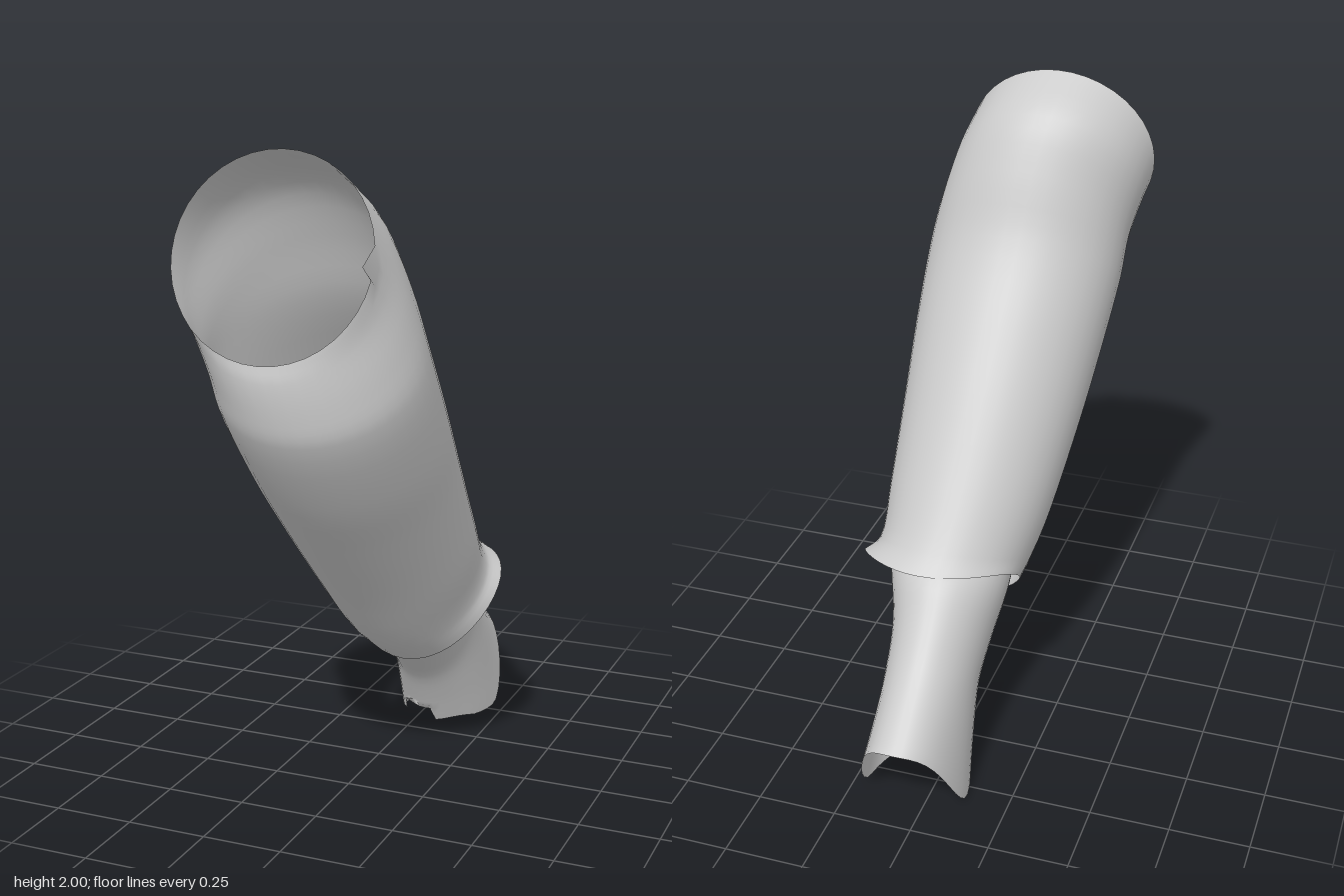
import * as THREE from 'three';

const SIDES = 40;
const STEPS = 4; // smooth rows between two given sections

// Lofts an open tube. Each section is [lower z, lower y, upper z, upper y, min x, max x].
// shape(p, t, u) may reshape a point at angle t (0 = left side) and length u (0..1).
function loft(name, sections, shape) {
  const lower = new THREE.CatmullRomCurve3(sections.map(s => new THREE.Vector3(s[4], s[1], s[0])));
  const upper = new THREE.CatmullRomCurve3(sections.map(s => new THREE.Vector3(s[5], s[3], s[2])));
  const rows = (sections.length - 1) * STEPS;
  const pos = [], index = [];
  for (let r = 0; r <= rows; r++) {
    const u = r / rows;
    const f = lower.getPoint(u), b = upper.getPoint(u);
    for (let i = 0; i < SIDES; i++) {
      const t = i / SIDES * Math.PI * 2;
      const k = (1 + Math.sin(t)) / 2;
      const p = new THREE.Vector3(
        THREE.MathUtils.lerp(f.x, b.x, (1 + Math.cos(t)) / 2),
        THREE.MathUtils.lerp(f.y, b.y, k),
        THREE.MathUtils.lerp(f.z, b.z, k));
      shape(p, t, u, i);
      pos.push(p.x, p.y, p.z);
      if (r < rows) {
        const a = r * SIDES + i, n = r * SIDES + (i + 1) % SIDES;
        index.push(a, a + SIDES, n, n, a + SIDES, n + SIDES);
      }
    }
  }
  const geo = new THREE.BufferGeometry();
  geo.setAttribute('position', new THREE.Float32BufferAttribute(pos, 3));
  geo.setIndex(index);
  geo.computeVertexNormals();
  const mesh = new THREE.Mesh(geo, new THREE.MeshStandardMaterial({ color: 0xcccccc, side: THREE.DoubleSide }));
  mesh.name = name;
  return mesh;
}

export function createModel() {
  const group = new THREE.Group();
  group.name = 'bentSleeve';

  // Wide sleeve, from the open upper end round the elbow to the cuff
  group.add(loft('sleeve', [
    [0.75, 1.43, 0.57, 2.00, -0.35, 0.26],
    [0.758, 1.38, 0.42, 1.90, -0.33, 0.285],
    [0.75, 1.28, 0.33, 1.74, -0.30, 0.32],
    [0.73, 1.20, 0.25, 1.55, -0.29, 0.345],
    [0.60, 1.00, 0.10, 1.33, -0.265, 0.345],
    [0.45, 0.82, -0.03, 1.14, -0.24, 0.335],
    [0.27, 0.61, -0.20, 0.88, -0.20, 0.325],
    [0.12, 0.43, -0.31, 0.72, -0.16, 0.32],
    [0.04, 0.36, -0.36, 0.66, -0.15, 0.355],
  ], (p, t, u, i) => {
    // arched cuff edge
    const end = Math.max(0, (u - 0.8) / 0.2) * Math.cos(t) ** 2;
    p.y += 0.07 * end;
    p.z += 0.02 * end;
    // torn corner on the open end
    if (u === 0 && i === 0) p.z += 0.08;
  }));

  // Narrow forearm coming out of the cuff, with a torn end
  group.add(loft('forearm', [
    [0.07, 0.50, -0.28, 0.70, -0.12, 0.28],
    [-0.01, 0.42, -0.355, 0.655, -0.12, 0.25],
    [-0.12, 0.30, -0.44, 0.56, -0.10, 0.21],
    [-0.22, 0.20, -0.54, 0.45, -0.09, 0.195],
    [-0.28, 0.10, -0.65, 0.36, -0.10, 0.20],
    [-0.33, 0.00, -0.76, 0.28, -0.115, 0.21],
  ], (p, t, u) => {
    const end = Math.max(0, (u - 0.6) / 0.4) * Math.cos(t) ** 4;
    p.y = Math.max(0, p.y - 0.13 * end);
    p.z -= 0.025 * end;
    // notch in the lower edge
    if (u > 0.9 && p.z > -0.4 && Math.abs(p.x - 0.01) < 0.055) {
      p.y = Math.max(p.y, 0.08);
      p.z = Math.max(p.z, -0.30);
    }
  }));

  return group;
}
